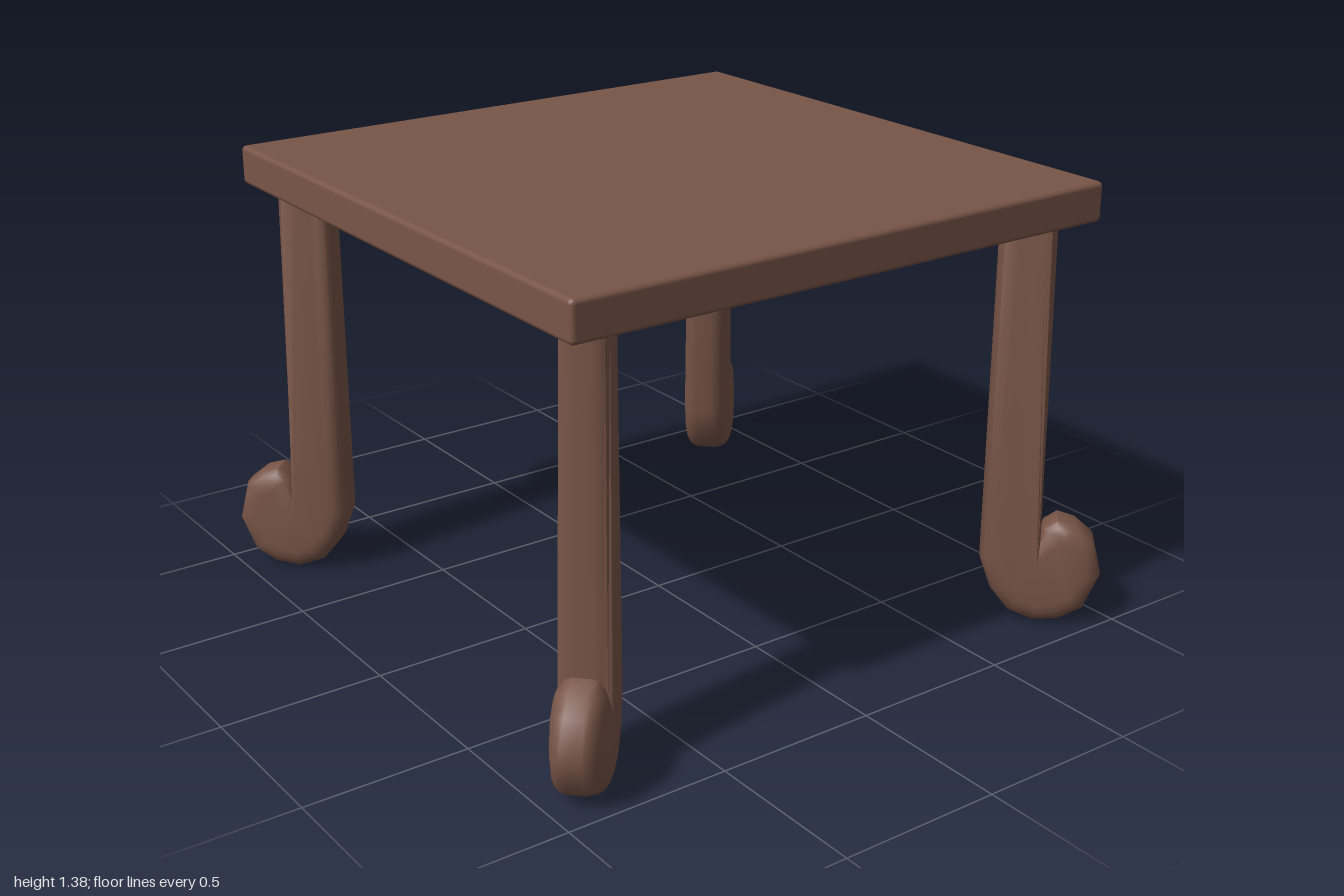
import * as THREE from 'three';
import { toCreasedNormals } from 'three/addons/utils/BufferGeometryUtils.js';
import { RoundedBoxGeometry } from 'three/addons/geometries/RoundedBoxGeometry.js';

// Side outline of one leg: x runs outward along the table's diagonal
const LEG_OUTLINE = [
  [1.0, 1.34], [1.0, 0.2], [1.035, 0.1], [1.09, 0.03], [1.17, 0.0],
  [1.25, 0.01], [1.32, 0.05], [1.365, 0.16], [1.335, 0.28], [1.28, 0.325],
  [1.225, 0.34], [1.185, 0.31], [1.18, 0.28], [1.165, 1.34],
];

// Rounded leg slab: a bevelled extrusion, slightly fuller at the foot
function legGeometry() {
  const shape = new THREE.Shape(LEG_OUTLINE.map(([x, y]) => new THREE.Vector2(x, y)));
  const depth = 0.05;
  const geo = new THREE.ExtrudeGeometry(shape, {
    depth, bevelEnabled: true, bevelThickness: 0.043,
    bevelSize: 0.06, bevelOffset: -0.06, bevelSegments: 4,
  });
  geo.translate(0, 0, -depth / 2);
  const p = geo.attributes.position;
  for (let i = 0; i < p.count; i++) {
    const swell = 1 - THREE.MathUtils.smoothstep(p.getY(i), 0.15, 0.4);
    const tip = THREE.MathUtils.smoothstep(p.getX(i), 1.24, 1.37);
    p.setZ(i, p.getZ(i) * (1 + 0.14 * swell * (1 - tip)));
  }
  return toCreasedNormals(geo, 0.8);
}

export function createModel() {
  const group = new THREE.Group();
  const wood = new THREE.MeshStandardMaterial({ color: 0x795548 });
  wood.name = 'brownWood';

  // Square top with softened edges
  const top = new THREE.Mesh(new RoundedBoxGeometry(1.82, 0.12, 1.82, 2, 0.015), wood);
  top.name = 'tableTop';
  top.position.y = 1.325;
  group.add(top);

  // Four legs, each curling outward at its corner
  const geo = legGeometry();
  ['backLeftLeg', 'backRightLeg', 'frontRightLeg', 'frontLeftLeg'].forEach((name, i) => {
    const leg = new THREE.Mesh(geo, wood);
    leg.name = name;
    leg.rotation.y = Math.PI / 4 + i * Math.PI / 2;
    group.add(leg);
  });
  return group;
}
